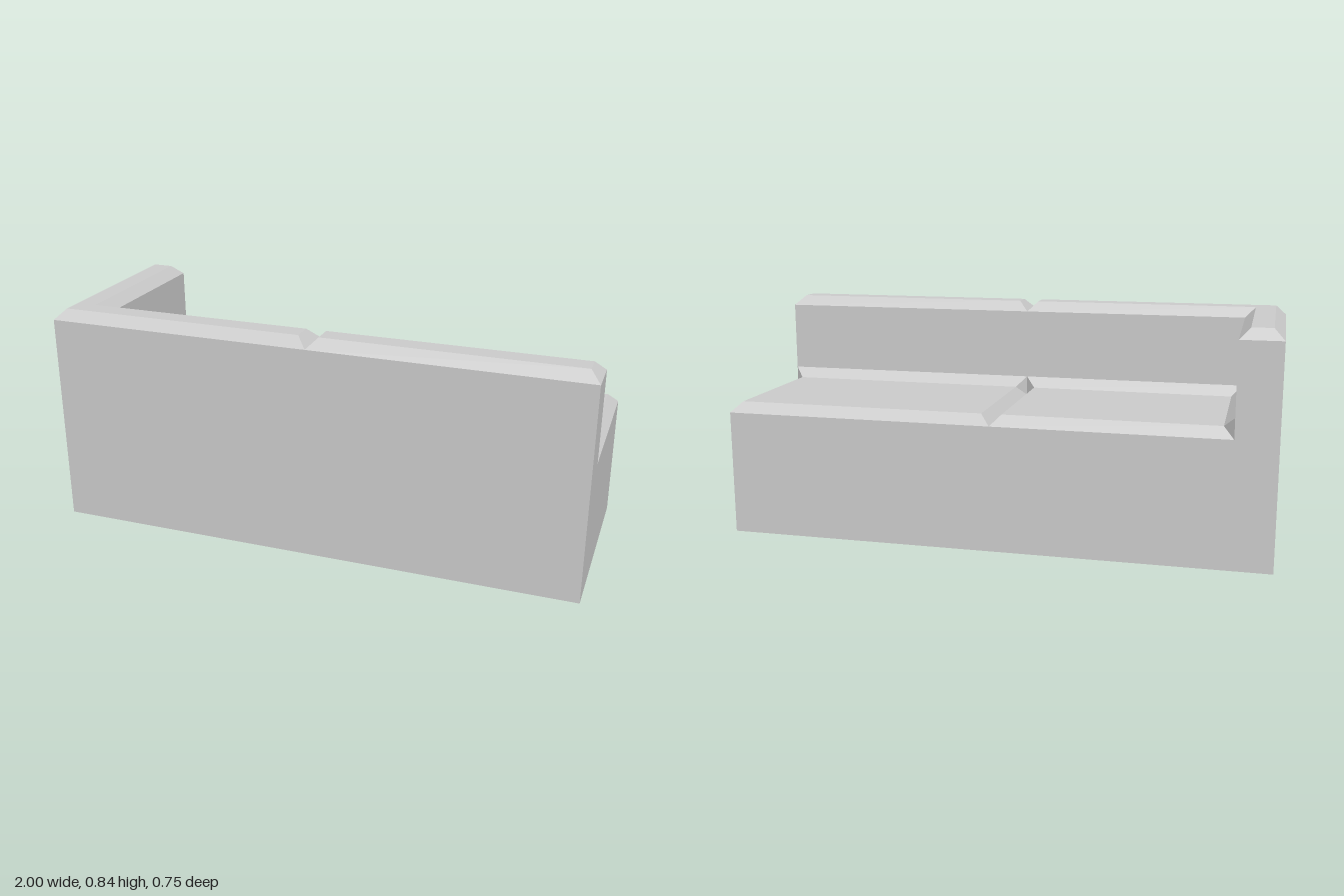
import * as THREE from 'three';

const BEVEL = 0.0375;
const BACK = 0.225;   // inner face of the backrest (z)
const ARM = -0.85;    // inner face of the arm (x)
const DEPTH = 0.375;  // half depth
const SEAT = 0.5, WALL = 0.8;

// Pad with a flat top and a bevel along each edge. The right-angled outline of
// [x, z] corners runs counter-clockwise from above; rims holds the outer height
// of each edge: below top slopes down, above top sweeps up against a wall.
function padGeometry(outline, rims, top) {
  const n = outline.length;
  const inward = i => {
    const [ax, az] = outline[i], [bx, bz] = outline[(i + 1) % n];
    const length = Math.hypot(bx - ax, bz - az);
    return [(bz - az) / length, (ax - bx) / length];
  };
  const inner = outline.map(([x, z], i) => {
    const p = inward((i + n - 1) % n), q = inward(i);
    return [x + BEVEL * (p[0] + q[0]), top, z + BEVEL * (p[1] + q[1])];
  });
  const positions = [];
  const tri = (...corners) => corners.forEach(c => positions.push(...c));

  for (let i = 0; i < n; i++) {
    const j = (i + 1) % n;
    const [ax, az] = outline[i], [bx, bz] = outline[j];
    const a = [ax, rims[i], az], b = [bx, rims[i], bz];
    tri(a, b, inner[j]);
    tri(a, inner[j], inner[i]);
    // Mitre where a rising edge meets a falling one
    if (rims[i] !== rims[j]) tri(inner[j], b, [bx, rims[j], bz]);
  }
  const flat = inner.map(([x, , z]) => new THREE.Vector2(x, -z));
  for (const face of THREE.ShapeUtils.triangulateShape(flat, [])) {
    tri(...face.map(k => inner[k]));
  }
  const geometry = new THREE.BufferGeometry();
  geometry.setAttribute('position', new THREE.Float32BufferAttribute(positions, 3));
  geometry.computeVertexNormals();
  return geometry;
}

export function createModel() {
  const model = new THREE.Group();
  model.name = 'sofa';
  const material = new THREE.MeshStandardMaterial({ color: 0xcccccc, flatShading: true });
  const add = (name, geometry) => {
    const mesh = new THREE.Mesh(geometry, material);
    mesh.name = name;
    model.add(mesh);
    return mesh;
  };
  const low = SEAT - BEVEL, high = SEAT + BEVEL;

  // Solid base
  add('base', new THREE.BoxGeometry(2, low, 2 * DEPTH)).position.y = low / 2;

  // L-shaped backrest and arm walls
  const wall = [[-1, DEPTH], [1, DEPTH], [1, BACK], [ARM, BACK], [ARM, -DEPTH], [-1, -DEPTH]];
  const shape = new THREE.Shape(wall.map(([x, z]) => new THREE.Vector2(x, -z)));
  const walls = new THREE.ExtrudeGeometry(shape, { depth: WALL - low, bevelEnabled: false });
  add('backAndArmWalls', walls.rotateX(-Math.PI / 2).translate(0, low, 0));

  // Seat cushions, swept up to the backrest and arm
  const rectangle = (x0, x1, z0, z1) => [[x0, z1], [x1, z1], [x1, z0], [x0, z0]];
  add('rightSeatCushion', padGeometry(rectangle(ARM, 0, -DEPTH, BACK), [high, low, low, high], SEAT));
  add('leftSeatCushion', padGeometry(rectangle(0, 1, -DEPTH, BACK), [high, low, low, low], SEAT));

  // Bevelled tops of the walls, split at the middle
  const corner = wall.map(([x, z]) => [Math.min(x, 0), z]);
  add('cornerWallTop', padGeometry(corner, Array(6).fill(WALL), WALL + BEVEL));
  add('leftWallTop', padGeometry(rectangle(0, 1, BACK, DEPTH), Array(4).fill(WALL), WALL + BEVEL));

  return model;
}
